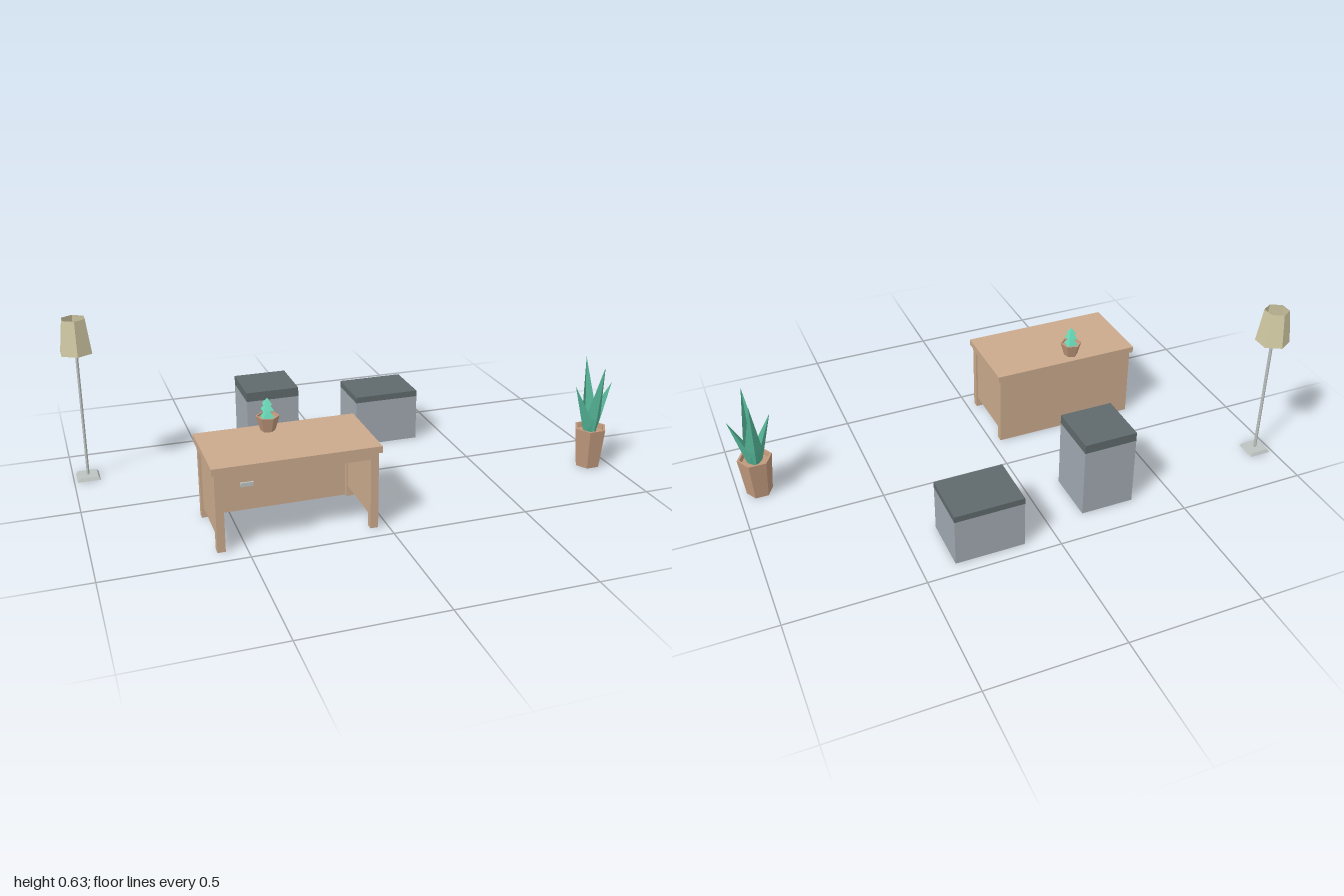
import * as THREE from 'three';

const mat = (name, color, side = THREE.FrontSide) => {
  const m = new THREE.MeshStandardMaterial({ color, side });
  m.name = name;
  return m;
};

// Faceted normals for low-poly parts
function facet(geo) {
  const g = geo.index ? geo.toNonIndexed() : geo;
  g.computeVertexNormals();
  return g;
}

function add(parent, name, geo, material, x = 0, y = 0, z = 0) {
  const mesh = new THREE.Mesh(geo, material);
  mesh.name = name;
  mesh.position.set(x, y, z);
  parent.add(mesh);
  return mesh;
}

// Box given by its limits on each axis
function box(parent, name, material, x0, x1, y0, y1, z0, z1) {
  return add(parent, name, new THREE.BoxGeometry(x1 - x0, y1 - y0, z1 - z0), material,
    (x0 + x1) / 2, (y0 + y1) / 2, (z0 + z1) / 2);
}

function group(parent, name, x = 0, y = 0, z = 0) {
  const g = new THREE.Group();
  g.name = name;
  g.position.set(x, y, z);
  parent.add(g);
  return g;
}

// Hexagonal open pot with a rim and sunken filling
function pot(parent, material, bottom, top, height, turn) {
  const pts = [[0, 0], [bottom, 0], [top, height], [top * 0.86, height],
    [top * 0.82, height * 0.88], [0, height * 0.88]].map(p => new THREE.Vector2(...p));
  add(parent, 'pot', facet(new THREE.LatheGeometry(pts, 6)), material).rotation.y = turn;
}

// Pointed leaf folded along an outward ridge, leaning towards +z
function leafGeometry(halfWidth, midY, tipY, tipOut) {
  const baseY = 0.13;
  const v = [
    -0.022, baseY, 0.005, 0, baseY, 0.026, 0.022, baseY, 0.005,
    -halfWidth, midY, 0.013, 0, midY, 0.042, halfWidth, midY, 0.013,
    0, tipY, tipOut,
  ];
  const g = new THREE.BufferGeometry();
  g.setAttribute('position', new THREE.Float32BufferAttribute(v, 3));
  g.setIndex([0, 1, 4, 0, 4, 3, 1, 2, 5, 1, 5, 4, 3, 4, 6, 4, 5, 6]);
  return facet(g);
}

export function createModel() {
  const root = new THREE.Group();
  root.name = 'officeFurniture';

  const wood = mat('wood', 0xcaa98c);
  const clay = mat('clay', 0xbf987b);
  const cabinetGrey = mat('cabinetGrey', 0xa0a8b0);
  const lidGrey = mat('lidGrey', 0x5f696b);
  const metal = mat('metal', 0xbcc3c0);
  const shadeCream = mat('shadeCream', 0xd2caa4, THREE.DoubleSide);
  const leafGreen = mat('leafGreen', 0x54b496, THREE.DoubleSide);
  const cactusGreen = mat('cactusGreen', 0x66d6b4);

  // Desk
  const desk = group(root, 'desk');
  const [L, R, B, F, T, H] = [-0.6, -0.036, 0.15, 0.44, 0.028, 0.284];
  box(desk, 'deskTop', wood, L - 0.01, R + 0.01, H, 0.308, B - 0.009, F + 0.009);
  box(desk, 'backPanel', wood, L + T, R - T, 0, H, B, B + 0.015);
  for (const x of [L, R - T]) {
    const outward = x === L ? 0.008 : 0.006;
    box(desk, 'frontLeg', wood, x, x + T, 0, H, F - T, F);
    box(desk, 'backLeg', wood, x, x + T, 0, H, B, B + T);
    box(desk, 'sideRail', wood, x, x + T, 0.26, H, B + T, F - T);
    box(desk, 'sidePanel', wood, x + outward, x + T - 0.007, 0.04, 0.26, B + T, F - T);
  }
  box(desk, 'frontRail', wood, -0.39, R - T, 0.26, H, F - T, F);
  box(desk, 'drawer', wood, L + T, -0.39, 0.198, H, B + 0.015, F);

  // Drawer pull: two posts and a bar
  const pull = group(desk, 'drawerPull');
  box(pull, 'pullBar', metal, -0.515, -0.473, 0.233, 0.247, 0.446, 0.453);
  for (const x of [-0.515, -0.481]) box(pull, 'pullPost', metal, x, x + 0.008, 0.235, 0.245, F, 0.447);

  // Potted cactus on the desk
  const cactus = group(root, 'cactus', -0.355, 0.308, 0.19);
  pot(cactus, clay, 0.026, 0.042, 0.054, Math.PI / 12);
  for (const [r, y, h] of [[0.021, 0.046, 0.04], [0.019, 0.076, 0.03], [0.015, 0.096, 0.024]]) {
    const tier = new THREE.CylinderGeometry(0, r * Math.SQRT2, h, 4);
    add(cactus, 'cactusTier', facet(tier), cactusGreen, 0, y + h / 2, 0).rotation.y = Math.PI / 4;
  }

  // Tall leafy plant
  const plant = group(root, 'floorPlant', 0.921, 0, 0.21);
  pot(plant, clay, 0.049, 0.065, 0.157, Math.PI / 6);
  const tallLeaf = leafGeometry(0.032, 0.2, 0.422, 0.068);
  const shortLeaf = leafGeometry(0.038, 0.19, 0.332, 0.078);
  for (let i = 0; i < 4; i++) {
    add(plant, 'leaf', i % 2 ? shortLeaf : tallLeaf, leafGreen).rotation.y = i * Math.PI / 2;
  }

  // Two cabinets: limits in x and z, lid underside, top
  for (const [name, x0, x1, z0, z1, lid, top] of [
    ['tallCabinet', -0.343, -0.14, -0.381, -0.177, 0.273, 0.308],
    ['lowCabinet', 0.12, 0.38, -0.45, -0.244, 0.184, 0.208],
  ]) {
    const cabinet = group(root, name);
    box(cabinet, 'cabinetBody', cabinetGrey, x0, x1, 0, lid, z0, z1);
    box(cabinet, 'cabinetLid', lidGrey, x0, x1, lid, top, z0, z1);
  }

  // Floor lamp
  const lamp = group(root, 'floorLamp', -0.945, 0, -0.291);
  const base = new THREE.CylinderGeometry(0.05, 0.06, 0.012, 4);
  add(lamp, 'lampBase', facet(base), metal, 0, 0.006, 0).rotation.y = Math.PI / 4;
  add(lamp, 'lampPole', facet(new THREE.CylinderGeometry(0.006, 0.006, 0.52, 6)), metal, 0, 0.27, 0);
  add(lamp, 'lampSocket', facet(new THREE.CylinderGeometry(0.012, 0.012, 0.04, 6)), metal, 0, 0.535, 0);
  const shade = new THREE.CylinderGeometry(0.046, 0.063, 0.13, 6, 1, true);
  add(lamp, 'lampShade', facet(shade), shadeCream, 0, 0.565, 0);

  return root;
}
